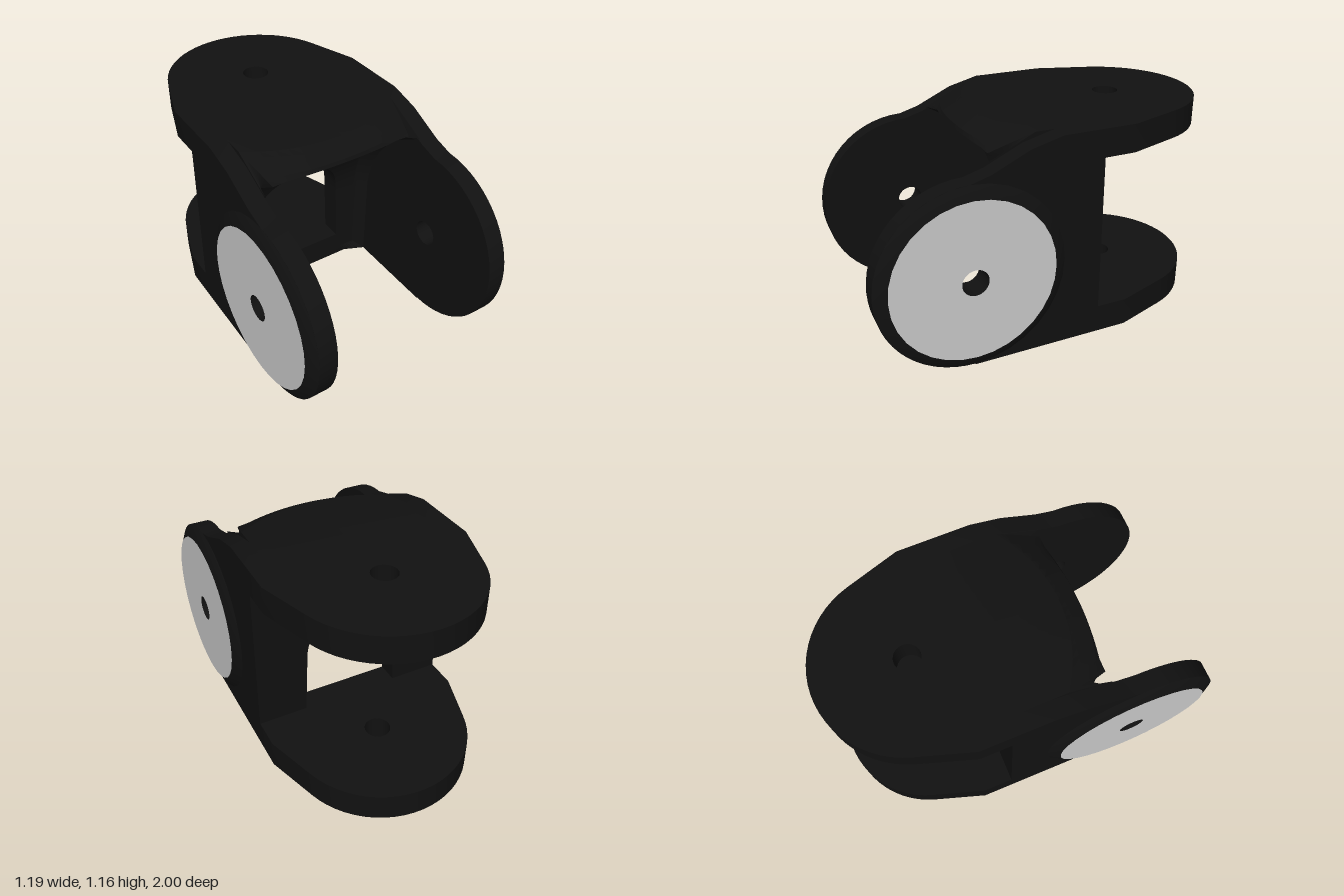
import * as THREE from 'three';
import { toCreasedNormals } from 'three/addons/utils/BufferGeometryUtils.js';

const PIVOT_Z = 0.505, PIVOT_Y = 0.5, PIN_R = 0.07;
const INNER = 0.46, OUTER = 0.56, FACE = 0.595, TOP = 1.16, BACK = -0.2;

const black = new THREE.MeshStandardMaterial({ color: 0x111111 });
const grey = new THREE.MeshStandardMaterial({ color: 0xcccccc });

function part(name, geometry, material = black) {
  const mesh = new THREE.Mesh(geometry, material);
  mesh.name = name;
  return mesh;
}

function pinHole(x, y) {
  return new THREE.Path().absarc(x, y, PIN_R, 0, Math.PI * 2, true);
}

// Rear tongue: tapered plate with a round end and a vertical pin hole
function tongueGeometry(bottom, top) {
  const shape = new THREE.Shape();
  shape.moveTo(-OUTER, -BACK);
  shape.lineTo(OUTER, -BACK);
  shape.lineTo(OUTER, 0.37);
  shape.absarc(0, 0.51, 0.49, 0.3, Math.PI - 0.3, false);
  shape.lineTo(-OUTER, 0.37);
  shape.closePath();
  shape.holes.push(pinHole(0, 0.515));
  const geo = new THREE.ExtrudeGeometry(shape, { depth: top - bottom, bevelEnabled: false, curveSegments: 12 });
  geo.rotateX(-Math.PI / 2).translate(0, bottom, 0);
  return toCreasedNormals(geo, 0.5);
}

// Front arm: side plate with a round front end (shape x is -z)
function armGeometry() {
  const shape = new THREE.Shape();
  shape.moveTo(-BACK, 0);
  shape.lineTo(-BACK, TOP);
  shape.lineTo(-0.03, TOP);
  shape.lineTo(-0.2, 1.117);
  shape.lineTo(-0.4, 1.025);
  shape.absarc(-PIVOT_Z, PIVOT_Y, 0.495, Math.PI / 2, Math.PI * 1.5, false);
  shape.lineTo(-PIVOT_Z, 0);
  shape.closePath();
  shape.holes.push(pinHole(-PIVOT_Z, PIVOT_Y));
  const geo = new THREE.ExtrudeGeometry(shape, { depth: OUTER - INNER, bevelEnabled: false, curveSegments: 14 });
  geo.rotateY(Math.PI / 2);
  return toCreasedNormals(geo, 0.5);
}

// Depth of the web's front: hollowed round the pivot, with a lip and a sloped brow
function webFront(x, y) {
  const ax = Math.abs(x), dy = Math.max(0, y - PIVOT_Y);
  const hollow = PIVOT_Z - Math.sqrt(Math.max(0, 0.585 ** 2 - dy * dy));
  const lip = 0.39 - 0.29 * x * x;
  const chamfer = Math.max(0, ax - (0.41 - 0.07 * dy));
  const r = 0.79 + (TOP - y) * 1.83;
  const brow = -0.51 + Math.sqrt(r * r - x * x);
  return Math.min(Math.min(hollow, lip) + chamfer, brow);
}

// Web: ring between the arched opening and the outer rectangle
function webGeometry() {
  const rays = [], spring = 0.52, n = 8, arcN = 32, rows = 20;
  const jamb = (t) => [0.28 - 0.015 * t, 0.155 + (spring - 0.155) * t, INNER, spring * t];
  for (let i = 0; i < n; i++) {
    const s = -1 + (2 * i) / n;
    rays.push([0.28 * s, 0.155, INNER * s, 0]);
  }
  for (let i = 0; i < n; i++) rays.push(jamb(i / n));
  for (let i = 0; i <= arcN; i++) {
    const c = Math.cos((Math.PI * i) / arcN), s = Math.sin((Math.PI * i) / arcN);
    const m = Math.max(Math.abs(c), s);
    rays.push([0.265 * c, spring + 0.26 * s, (INNER * c) / m, spring + ((TOP - spring) * s) / m]);
  }
  for (let i = n - 1; i > 0; i--) {
    const [ix, iy, ox, oy] = jamb(i / n);
    rays.push([-ix, iy, -ox, oy]);
  }

  // Each ray gives a closed loop: front from opening to rim, then the back
  const pos = [], index = [], loop = rows + 3;
  for (const [ix, iy, ox, oy] of rays) {
    for (let j = 0; j <= rows; j++) {
      const t = j / rows, x = ix + (ox - ix) * t, y = iy + (oy - iy) * t;
      pos.push(x, y, webFront(x, y));
    }
    pos.push(ox, oy, BACK, ix, iy, BACK);
  }
  for (let i = 0; i < rays.length; i++) {
    const p = i * loop, q = ((i + 1) % rays.length) * loop;
    for (let j = 0; j < loop; j++) {
      const k = (j + 1) % loop;
      index.push(p + j, p + k, q + k, p + j, q + k, q + j);
    }
  }
  const geo = new THREE.BufferGeometry();
  geo.setAttribute('position', new THREE.Float32BufferAttribute(pos, 3));
  geo.setIndex(index);
  return toCreasedNormals(geo, 0.5);
}

// Chamfered round boss on the outside of an arm, with the pin bore
function bossGeometry() {
  const profile = [[0.495, OUTER], [0.43, FACE], [PIN_R, FACE], [PIN_R, OUTER]];
  const geo = new THREE.LatheGeometry(profile.map(([r, h]) => new THREE.Vector2(r, h)), 32);
  // the flat end is covered by the grey face, so it sits just below it
  return toCreasedNormals(geo.rotateZ(-Math.PI / 2), 0.5);
}

export function createModel() {
  const model = new THREE.Group();
  model.name = 'clevisBracket';

  model.add(part('topTongue', tongueGeometry(1.01, TOP)));
  model.add(part('bottomTongue', tongueGeometry(0, 0.155)));
  model.add(part('archedWeb', webGeometry()));

  for (const side of [1, -1]) {
    const label = side > 0 ? 'left' : 'right';
    const arm = part(label + 'Arm', armGeometry());
    arm.position.x = side > 0 ? INNER : -OUTER;

    const boss = new THREE.Group();
    boss.name = label + 'Boss';
    const rim = part('bossRim', bossGeometry());
    rim.material = black.clone();
    rim.material.side = THREE.DoubleSide;
    const face = part('bossFace', new THREE.RingGeometry(PIN_R, 0.43, 32), grey);
    face.rotation.y = Math.PI / 2;
    face.position.x = FACE + 0.002;
    boss.add(rim, face);
    boss.position.set(0, PIVOT_Y, PIVOT_Z);
    if (side < 0) boss.rotation.y = Math.PI;
    model.add(arm, boss);
  }
  return model;
}
